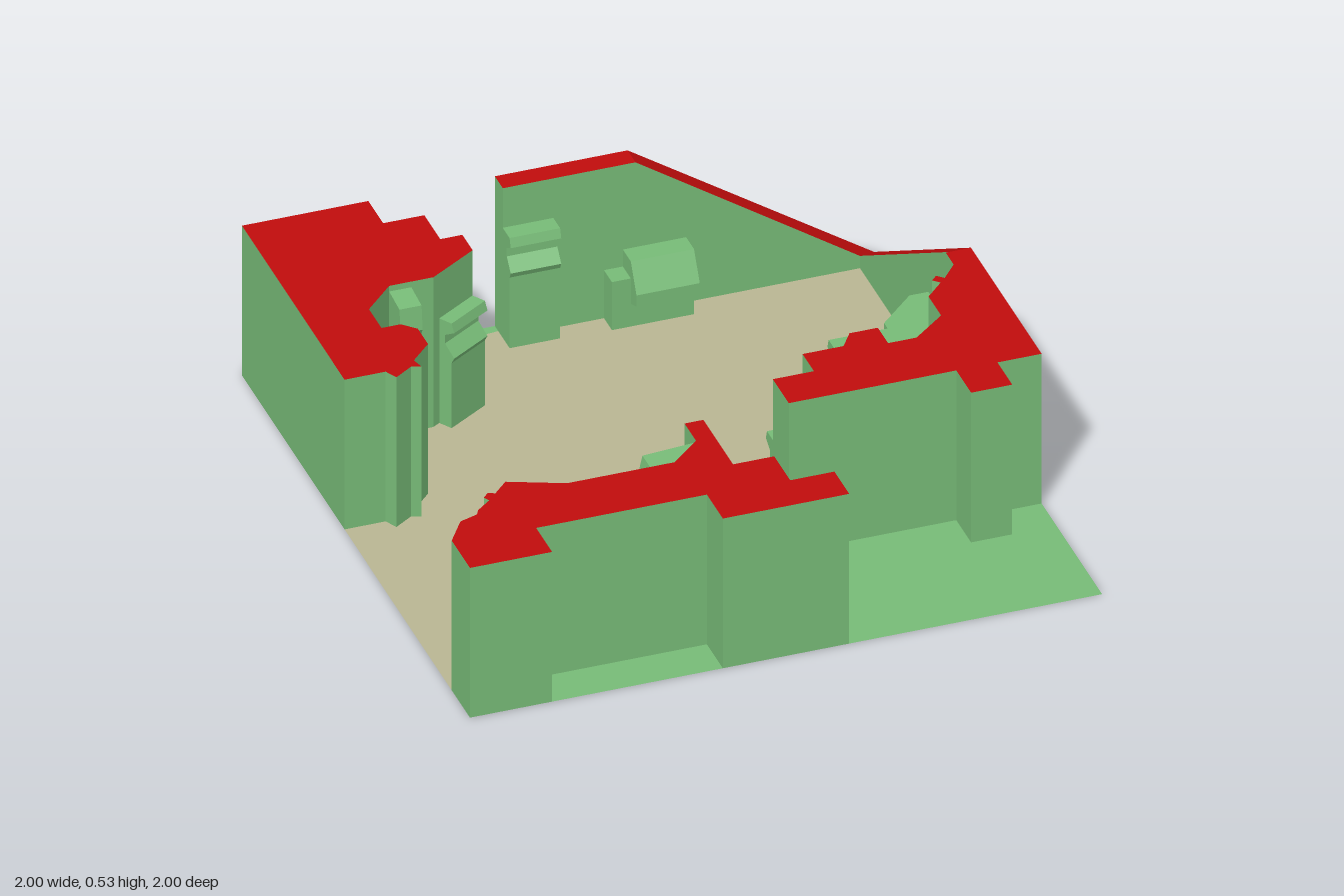
import * as THREE from 'three';

const H = 0.53;
const material = (color) => new THREE.MeshStandardMaterial({ color, flatShading: true, side: THREE.DoubleSide });

// Wall height: two stretches ramp down to nothing at the back corner
function height(x, z) {
  let h = H;
  if (x > 0.92) h = Math.min(h, H * (z + 1) / 0.85);
  if (z < -0.92) h = Math.min(h, H * (1 - x) / 0.78);
  return h;
}

// Horizontal sheet over an [x, z] outline, raised by a height rule
function sheet(outline, heightAt) {
  const geo = new THREE.ShapeGeometry(new THREE.Shape(outline.map(([x, z]) => new THREE.Vector2(x, -z))));
  geo.rotateX(-Math.PI / 2);
  const p = geo.attributes.position;
  for (let i = 0; i < p.count; i++) p.setY(i, heightAt(p.getX(i), p.getZ(i)));
  const flat = geo.toNonIndexed();
  flat.computeVertexNormals();
  return flat;
}

// Upright faces around a closed outline, open underneath
function curtain(outline) {
  const clockwise = THREE.ShapeUtils.isClockWise(outline.map(([x, z]) => new THREE.Vector2(x, -z)));
  const pts = clockwise ? [...outline].reverse() : outline;
  const v = [];
  pts.forEach(([ax, az], i) => {
    const [bx, bz] = pts[(i + 1) % pts.length];
    const ah = height(ax, az), bh = height(bx, bz);
    v.push(ax, 0, az, bx, 0, bz, bx, bh, bz, ax, 0, az, bx, bh, bz, ax, ah, az);
  });
  const geo = new THREE.BufferGeometry();
  geo.setAttribute('position', new THREE.Float32BufferAttribute(v, 3));
  geo.computeVertexNormals();
  return geo;
}

export function createModel() {
  const model = new THREE.Group();
  const green = material(0x77bb77), red = material(0xc00c0c), beige = material(0xb9b692);

  const add = (name, geo, mat, parent = model) => {
    const mesh = new THREE.Mesh(geo, mat);
    mesh.name = name;
    parent.add(mesh);
    return mesh;
  };
  const wall = (name, outline, tops = [outline]) => {
    const group = new THREE.Group();
    group.name = name;
    add(name + 'Sides', curtain(outline), green, group);
    tops.forEach((top) => add(name + 'Top', sheet(top, height), red, group));
    model.add(group);
  };

  // Room-side edges of the three wall blocks
  const edgeA = [[-1, -0.1], [-0.87, -0.1], [-0.85, -0.06], [-0.79, -0.1], [-0.76, -0.09], [-0.77, -0.13],
    [-0.7, -0.2], [-0.7, -0.29], [-0.74, -0.33], [-0.8, -0.33], [-0.8, -0.44], [-0.7, -0.54], [-0.56, -0.54],
    [-0.4, -0.64], [-0.4, -0.73], [-0.47, -0.73], [-0.47, -0.87]];
  const edgeB = [[-1, 0.84], [-0.94, 0.75], [-0.88, 0.73], [-0.87, 0.71], [-0.82, 0.67], [-0.83, 0.65], [-0.81, 0.63],
    [-0.79, 0.64], [-0.74, 0.59], [-0.57, 0.66], [-0.23, 0.66], [-0.13, 0.57], [-0.13, 0.47]];
  const edgeC = [[0.2, 0.33], [0.33, 0.33], [0.33, 0.23], [0.46, 0.23], [0.5, 0.17], [0.59, 0.17], [0.59, 0.26],
    [0.68, 0.26], [0.79, 0.17], [0.79, 0.06], [0.85, 0], [0.83, -0.02], [0.85, -0.04], [0.87, -0.02],
    [0.92, -0.08], [0.92, -0.15], [0.93, -0.15]];
  const outerC = [[1, -0.15], [1, 0.47], [0.86, 0.47], [0.86, 0.6], [0.73, 0.6], [0.73, 0.47], [0.2, 0.47]];

  // Walls
  wall('backRightWall', [...edgeA, [-0.6, -0.87], [-0.6, -1], [-1, -1]]);
  wall('frontRightWall', [...edgeB, [-0.07, 0.47], [-0.07, 0.73], [0.06, 0.73], [0.06, 0.87], [0.2, 0.87], [0.2, 1],
    [-0.2, 1], [-0.2, 0.86], [-0.74, 0.86], [-0.74, 1], [-1, 1]]);
  wall('leftAndBackWall',
    [...edgeC, [0.93, -0.93], [0.22, -0.93], [-0.2, -0.93], [-0.2, -1], [0.22, -1], [1, -1], ...outerC],
    [
      [...edgeC, ...outerC],
      [[0.93, -0.15], [0.93, -0.93], [1, -1], [1, -0.15]],
      [[0.93, -0.93], [0.22, -0.93], [0.22, -1], [1, -1]],
      [[0.22, -0.93], [-0.2, -0.93], [-0.2, -1], [0.22, -1]],
    ]);

  // Floors
  const ground = () => 0;
  const sill = [[-0.07, 0.47], [-0.03, 0.44], [0.17, 0.43], [0.19, 0.37]];
  const backSill = [[-0.47, -0.87], [-0.4, -0.95], [-0.2, -0.97]];
  add('roomFloor', sheet([...edgeA, ...backSill.slice(1), [-0.2, -0.93], [0.93, -0.93], ...[...edgeC].reverse(),
    ...[...sill].reverse(), ...[...edgeB].reverse()], ground), beige);
  add('entranceFloor', sheet([...sill, [0.2, 0.33], [0.2, 0.47], [0.73, 0.47], [0.73, 0.6], [0.86, 0.6], [0.86, 0.47],
    [1, 0.47], [1, 1], [0.2, 1], [0.2, 0.87], [0.06, 0.87], [0.06, 0.73], [-0.07, 0.73]], ground), green);
  add('backDoorFloor', sheet([[-0.6, -1], [-0.6, -0.87], ...backSill, [-0.2, -1]], ground), green);
  add('recessFloor', sheet([[-0.74, 0.86], [-0.2, 0.86], [-0.2, 1], [-0.74, 1]], ground), green);

  // Fittings: a [depth, height] side profile, extruded by its width, facing (nx, nz)
  const fitting = (name, x, z, nx, nz, width, profile) => {
    const shape = new THREE.Shape(profile.map(([d, y]) => new THREE.Vector2(d, y)));
    const geo = new THREE.ExtrudeGeometry(shape, { depth: width, bevelEnabled: false });
    geo.translate(0, 0, -width / 2);
    const mesh = add(name, geo, green);
    mesh.position.set(x, 0, z);
    mesh.rotation.y = Math.atan2(-nz, nx);
  };
  // Cabinet with a sloped desk and a slot under its hood
  const cabinet = (h, d) => [[-0.02, 0], [d - 0.01, 0], [d - 0.01, h - 0.14], [d, h - 0.12], [d - 0.035, h - 0.08],
    [d - 0.035, h - 0.05], [d, h - 0.03], [d - 0.01, h], [-0.02, h]];
  const box = (d, h) => [[0, 0], [d, 0], [d, h], [0, h]];

  fitting('backCabinet', -0.12, -0.93, 0, 1, 0.16, cabinet(0.39, 0.07));
  fitting('cornerCabinet', -0.47, -0.6, 0.53, 0.85, 0.16, cabinet(0.37, 0.06));
  fitting('tallCabinet', 0.55, 0.23, 0, -1, 0.21, cabinet(0.5, 0.1));
  fitting('frontCabinet', -0.83, 0.71, -0.72, -0.69, 0.15, cabinet(0.42, 0.06));
  fitting('smallCabinet', 0.31, 0.33, 0, -1, 0.12, cabinet(0.22, 0.2));
  fitting('angledCabinet', 0.72, 0.23, -0.64, -0.77, 0.11, cabinet(0.2, 0.06));

  // Low benches with sloping consoles
  fitting('backBench', 0.25, -0.93, 0, 1, 0.26, box(0.07, 0.17));
  fitting('backConsole', 0.28, -0.93, 0, 1, 0.2, [[0, 0], [0.07, 0], [0.07, 0.08], [0.12, 0.1], [0.12, 0.14], [0.07, 0.23], [0, 0.23]]);
  fitting('sideBench', 0.93, -0.25, -1, 0, 0.43, box(0.05, 0.1));
  fitting('sideConsole', 0.93, -0.225, -1, 0, 0.21, [[0, 0], [0.08, 0], [0.09, 0.12], [0.14, 0.15], [0.14, 0.2], [0.06, 0.28], [0, 0.28]]);

  // Columns leaning out near the top
  const column = (d) => [[0, 0], [d * 0.6, 0], [d * 0.5, 0.18], [d * 0.25, 0.27], [d * 0.55, 0.34], [d, 0.42],
    [d * 0.9, 0.5], [0, 0.51]];
  fitting('backColumn', -0.665, -0.54, 0, 1, 0.07, column(0.1));
  fitting('frontColumn', -0.13, 0.605, -1, 0, 0.11, column(0.18));
  fitting('doorColumn', -0.13, 0.51, -1, 0, 0.08, [[0, 0], [0.07, 0], [0.06, 0.2], [0.09, 0.26], [0.05, 0.36], [0, 0.4]]);

  return model;
}
